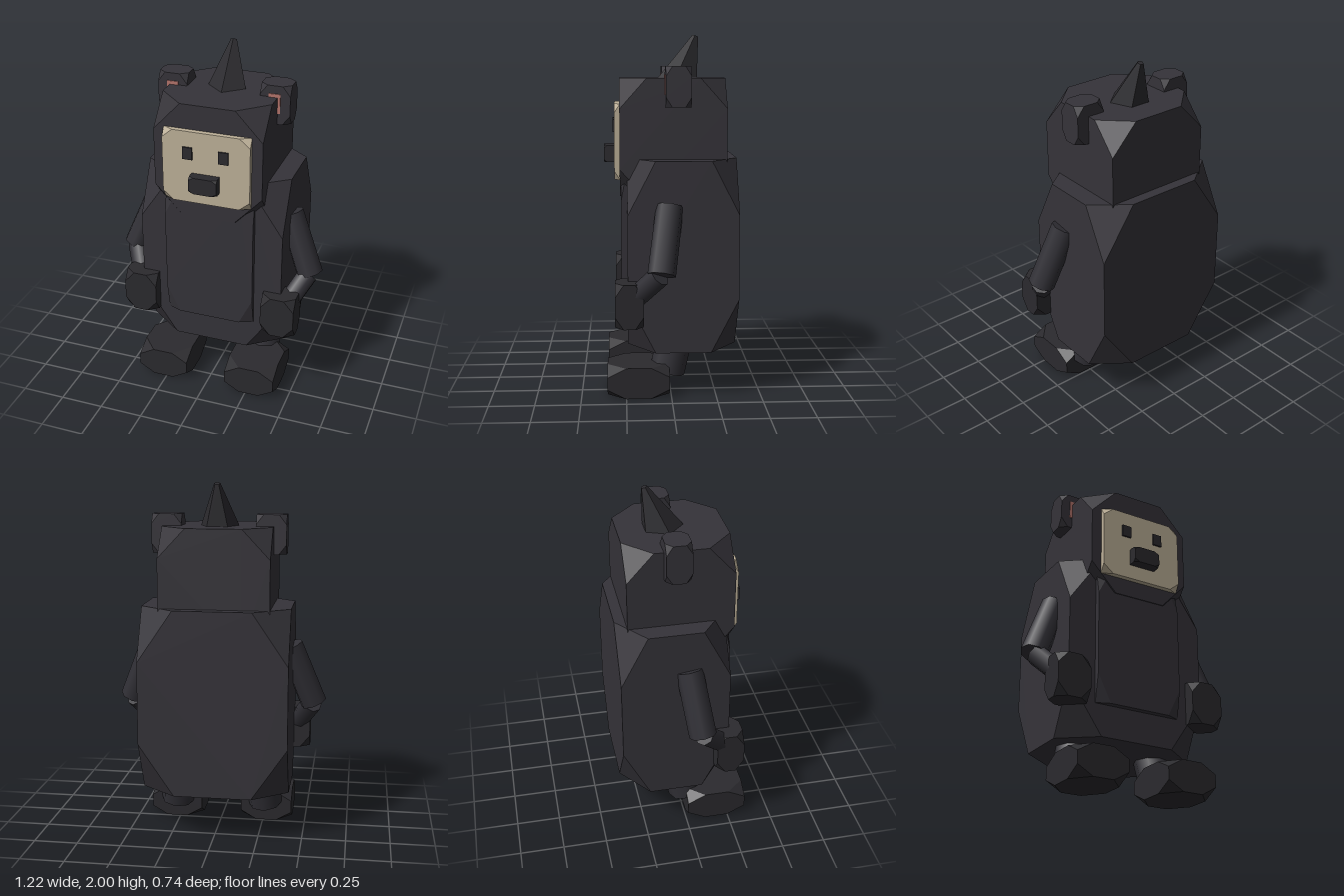
import * as THREE from 'three';
import { ConvexGeometry } from 'three/addons/geometries/ConvexGeometry.js';

const material = (color) => new THREE.MeshStandardMaterial({ color, flatShading: true });
const fur = material(0x353339);
const dark = material(0x2b2a2e);
const cream = material(0xbeb199);
const pink = material(0xb5746c);
const limbFur = new THREE.MeshStandardMaterial({ color: 0x313036 });

// Block between two corners, with its eight corners sliced off by fractions of its size
function block(name, min, max, mat, cut = [0.25, 0.25, 0.25]) {
  const size = min.map((v, i) => max[i] - v);
  const centre = min.map((v, i) => (max[i] + v) / 2);
  const points = [];
  for (const sx of [-1, 1]) for (const sy of [-1, 1]) for (const sz of [-1, 1]) {
    const corner = [sx, sy, sz];
    for (let axis = 0; axis < 3; axis++) {
      const p = corner.map((s, i) => s * size[i] * (i === axis ? 0.5 - cut[i] : 0.5));
      points.push(new THREE.Vector3(...p));
    }
  }
  const mesh = new THREE.Mesh(new ConvexGeometry(points), mat);
  mesh.position.set(...centre);
  mesh.name = name;
  return mesh;
}

// Tapered rod from one point to another
function rod(name, from, to, rFrom, rTo, sides, mat) {
  const a = new THREE.Vector3(...from);
  const b = new THREE.Vector3(...to);
  const dir = b.clone().sub(a);
  const mesh = new THREE.Mesh(new THREE.CylinderGeometry(rTo, rFrom, dir.length(), sides), mat);
  mesh.position.copy(a).add(b).multiplyScalar(0.5);
  mesh.quaternion.setFromUnitVectors(new THREE.Vector3(0, 1, 0), dir.normalize());
  mesh.name = name;
  return mesh;
}

function plainBox(name, min, max, mat) {
  const mesh = new THREE.Mesh(new THREE.BoxGeometry(...min.map((v, i) => max[i] - v)), mat);
  mesh.position.set(...min.map((v, i) => (v + max[i]) / 2));
  mesh.name = name;
  return mesh;
}

export function createModel() {
  const model = new THREE.Group();
  model.name = 'hornedBear';

  // Torso, belly panel and head
  model.add(
    block('body', [-0.42, 0.26, -0.37], [0.42, 1.32, 0.24], fur, [0.24, 0.28, 0.25]),
    block('bellyPanel', [-0.26, 0.44, 0.12], [0.26, 1.24, 0.275], fur, [0.15, 0.2, 0.2]),
    block('head', [-0.31, 1.1, -0.31], [0.31, 1.76, 0.28], fur),
  );

  // Face and snout
  model.add(
    block('face', [-0.25, 1.2, 0.2], [0.25, 1.62, 0.31], cream, [0.12, 0.12, 0.3]),
    block('nose', [-0.08, 1.285, 0.28], [0.08, 1.38, 0.37], dark, [0.18, 0.18, 0.2]),
  );

  // Five-sided horn leaning back
  model.add(rod('horn', [0, 1.72, -0.06], [0, 1.995, -0.155], 0.125, 0.018, 5, dark));

  // Paired parts, placed by coordinates on each side
  for (const s of [1, -1]) {
    const side = new THREE.Group();
    side.name = s > 0 ? 'leftSide' : 'rightSide';
    const span = (x0, x1, y0, y1, z0, z1) =>
      [[Math.min(s * x0, s * x1), y0, z0], [Math.max(s * x0, s * x1), y1, z1]];

    side.add(plainBox('eye', ...span(0.075, 0.13, 1.46, 1.53, 0.28, 0.32), dark));

    // Ear with pink lining
    side.add(
      block('ear', ...span(0.21, 0.38, 1.605, 1.825, -0.11, 0.03), fur),
      plainBox('innerEar', ...span(0.26, 0.325, 1.67, 1.78, 0.01, 0.035), pink),
    );

    // Arm
    side.add(
      rod('upperArm', [s * 0.4, 1.075, 0.01], [s * 0.54, 0.725, 0.06], 0.075, 0.077, 8, limbFur),
      rod('forearm', [s * 0.53, 0.72, 0.07], [s * 0.44, 0.57, 0.21], 0.06, 0.058, 8, limbFur),
      block('hand', ...span(0.32, 0.515, 0.42, 0.665, 0.155, 0.31), dark, [0.3, 0.28, 0.3]),
    );

    // Leg
    side.add(
      rod('leg', [s * 0.24, 0.36, -0.04], [s * 0.265, 0.11, 0.02], 0.1, 0.1, 8, limbFur),
      block('foot', ...span(0.12, 0.42, 0, 0.175, 0.01, 0.355), dark, [0.3, 0.3, 0.3]),
    );
    model.add(side);
  }
  return model;
}
